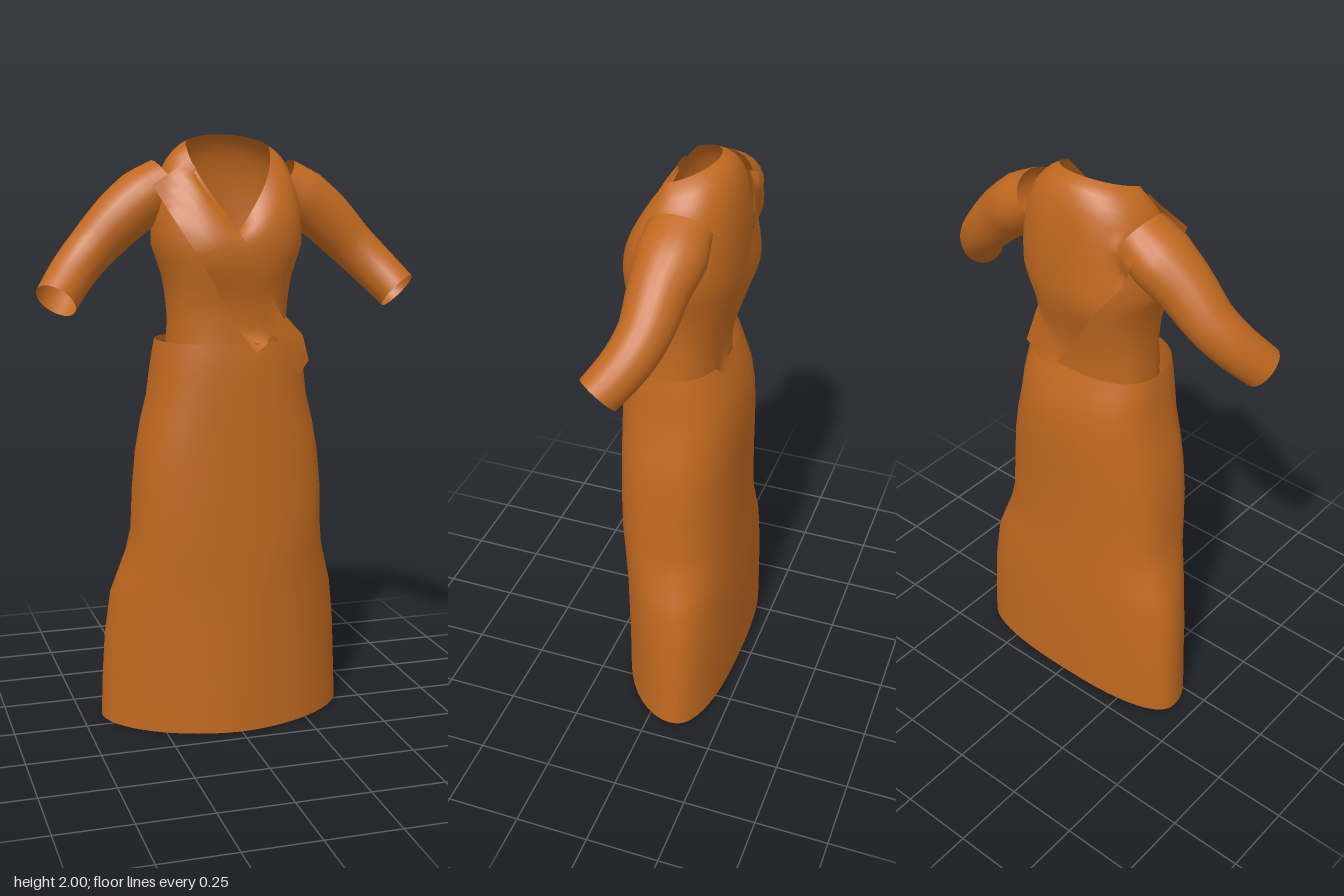
import * as THREE from 'three';

const SEG = 48;
const fabric = new THREE.MeshStandardMaterial({ color: 0xc0681f, side: THREE.DoubleSide });
fabric.name = 'rust fabric';

// Smooth surface through rows of points, optionally closed around
function loft(name, rows, closed = true) {
  const n = rows[0].length, pos = [], idx = [];
  rows.forEach(r => r.forEach(p => pos.push(p.x, p.y, p.z)));
  for (let j = 0; j < rows.length - 1; j++) {
    for (let i = 0; i < (closed ? n : n - 1); i++) {
      const a = j * n + i, b = j * n + (i + 1) % n;
      idx.push(a, a + n, b, b, a + n, b + n);
    }
  }
  const g = new THREE.BufferGeometry();
  g.setAttribute('position', new THREE.Float32BufferAttribute(pos, 3));
  g.setIndex(idx);
  g.computeVertexNormals();
  const m = new THREE.Mesh(g, fabric);
  m.name = name;
  return m;
}

// Rounded section: height, half width, front z, back z, side z, front and back squareness
function section([y, w, f, b, c = 0, ef = 2.4, eb = 2.4]) {
  return Array.from({ length: SEG }, (_, i) => {
    const t = i / SEG * Math.PI * 2, k = Math.cos(t), s = Math.sin(t);
    const soft = v => Math.sign(v) * Math.pow(Math.abs(v), 2 / (s > 0 ? ef : eb));
    return new THREE.Vector3(w * soft(k), y, c + (s > 0 ? f - c : c - b) * soft(s));
  });
}

// V-shaped neckline, high at the nape
function neckline() {
  return Array.from({ length: SEG }, (_, i) => {
    const t = i / SEG * Math.PI * 2, k = Math.cos(t), s = Math.sin(t);
    const y = s > 0 ? 1.69 + 0.2 * Math.abs(k) + 0.07 * (1 - s) ** 2 : 1.96 - 0.04 * s;
    return new THREE.Vector3(0.14 * k, y, 0.02 + 0.12 * s);
  });
}

function bodice() {
  const rows = [
    [1.27, 0.205, 0.16, -0.13], [1.33, 0.205, 0.16, -0.13], [1.4, 0.2, 0.155, -0.135],
    [1.47, 0.205, 0.16, -0.15], [1.54, 0.215, 0.177, -0.168], [1.6, 0.235, 0.187, -0.182],
    [1.645, 0.25, 0.187, -0.187],
  ].map(section);
  const chest = rows[rows.length - 1], neck = neckline();
  // Yoke curves inward from the chest, sloping at the shoulders
  for (let j = 1; j <= 9; j++) {
    const t = j / 9;
    rows.push(neck.map((n, i) => {
      const a = chest[i], drop = 0.05 * Math.abs(n.x / 0.14);
      const c = new THREE.Vector3(a.x * 1.02, n.y - drop, a.z * (a.z < 0 ? 1.08 : 0.98));
      return a.clone().multiplyScalar((1 - t) ** 2)
        .addScaledVector(c, 2 * t * (1 - t)).addScaledVector(n, t * t);
    }));
  }
  return loft('bodice', rows);
}

function sleeve(side) {
  const pts = [[0.195, 1.85, -0.045], [0.275, 1.795, -0.045], [0.355, 1.73, -0.035],
    [0.45, 1.635, -0.025], [0.52, 1.56, 0.01], [0.585, 1.48, 0.072]]
    .map(p => new THREE.Vector3(p[0] * side, p[1], p[2]));
  const curve = new THREE.CatmullRomCurve3(pts);
  const radii = [0.082, 0.096, 0.092, 0.08, 0.075, 0.071];
  const depths = [0.1, 0.11, 0.095, 0.082, 0.076, 0.07];
  const at = (list, t) => {
    const k = Math.min(t * 5, 4.999), i = Math.floor(k);
    return THREE.MathUtils.lerp(list[i], list[i + 1], k - i);
  };
  const rows = [];
  for (let j = 0; j <= 15; j++) {
    const t = j / 15, c = curve.getPoint(t), d = curve.getTangent(t);
    const e1 = d.clone().cross(new THREE.Vector3(0, 0, 1)).normalize();
    const e2 = e1.clone().cross(d);
    rows.push(Array.from({ length: 20 }, (_, i) => {
      const a = i / 20 * Math.PI * 2;
      return c.clone().addScaledVector(e1, at(radii, t) * Math.cos(a))
        .addScaledVector(e2, at(depths, t) * Math.sin(a));
    }));
  }
  return loft(side > 0 ? 'leftSleeve' : 'rightSleeve', rows);
}

// Strip draped on the garment; stations are [x, y, x, y] for its two edges
function drape(name, stations, dir, garment) {
  const ray = new THREE.Raycaster(), rows = [], steps = 5;
  for (let j = 0; j < stations.length - 1; j++) {
    for (let k = j ? 1 : 0; k <= steps; k++) {
      const s = stations[j].map((v, i) => THREE.MathUtils.lerp(v, stations[j + 1][i], k / steps));
      const row = [];
      for (let i = 0; i <= 6; i++) {
        const x = THREE.MathUtils.lerp(s[0], s[2], i / 6), y = THREE.MathUtils.lerp(s[1], s[3], i / 6);
        ray.set(new THREE.Vector3(x, y, 2 * dir), new THREE.Vector3(0, 0, -dir));
        const hit = ray.intersectObjects(garment, false)[0];
        // Bridge the open neckline, and stand off a little over the bust
        const bridge = Math.min(0.14, 0.14 - 0.42 * (y - 1.69));
        const depth = Math.max(hit ? hit.point.z * dir : 0, bridge);
        const puff = 0.022 * Math.exp(-((x + 0.15) ** 2 + (y - 1.62) ** 2) / 0.012);
        row.push(new THREE.Vector3(x, y, (depth + 0.012 + puff) * dir));
      }
      rows.push(dir > 0 ? row.reverse() : row);
    }
  }
  return loft(name, rows, false);
}

export function createModel() {
  const model = new THREE.Group();
  model.name = 'wrapDress';

  // Skirt flares at the sides, with the flare set towards the back
  const skirt = loft('skirt', [
    [0, 0.43, 0.195, -0.208, -0.08, 1.8, 2.5], [0.15, 0.424, 0.195, -0.209, -0.08, 1.8, 2.5],
    [0.3, 0.415, 0.195, -0.21, -0.075, 1.85, 2.5], [0.45, 0.395, 0.195, -0.208, -0.065, 1.95, 2.5],
    [0.52, 0.372, 0.195, -0.205, -0.05, 2.1, 2.5], [0.6, 0.345, 0.195, -0.203, -0.03, 2.3, 2.5],
    [0.68, 0.33, 0.195, -0.202, -0.01, 2.5, 2.5], [0.82, 0.325, 0.195, -0.202, 0, 2.5, 2.5],
    [0.95, 0.312, 0.195, -0.205, 0, 2.5, 2.5], [1.05, 0.293, 0.195, -0.208, 0, 2.5, 2.5],
    [1.14, 0.27, 0.195, -0.207, 0, 2.5, 2.5], [1.22, 0.26, 0.195, -0.195, 0, 2.5, 2.5],
    [1.28, 0.252, 0.193, -0.172, 0, 2.5, 2.5], [1.335, 0.243, 0.188, -0.152, 0, 2.5, 2.5],
  ].map(section));
  const garment = [skirt, bodice(), sleeve(1), sleeve(-1)];
  garment.forEach(m => m.updateMatrixWorld(true));
  model.add(...garment);

  // Diagonal sash from the right shoulder to the left hip
  model.add(drape('frontSash', [[-0.27, 1.84, -0.14, 1.92], [-0.21, 1.73, -0.08, 1.81],
    [-0.15, 1.62, 0, 1.675], [-0.05, 1.46, 0.08, 1.54], [0.04, 1.3, 0.16, 1.39]], 1, garment));
  model.add(drape('backSash', [[-0.27, 1.84, -0.11, 1.92], [-0.21, 1.71, -0.06, 1.8],
    [-0.11, 1.57, 0.04, 1.65], [-0.01, 1.43, 0.13, 1.51], [0.08, 1.29, 0.18, 1.37]], -1, garment));

  // Loose sash end at the left hip
  const v = (x, y, z) => new THREE.Vector3(x, y, z);
  model.add(loft('sashEnd', [
    [v(0.17, 1.41, 0.125), v(0.1, 1.37, 0.175)],
    [v(0.235, 1.345, 0.105), v(0.155, 1.3, 0.182)],
    [v(0.265, 1.255, 0.085), v(0.205, 1.22, 0.16)],
  ], false));
  return model;
}
